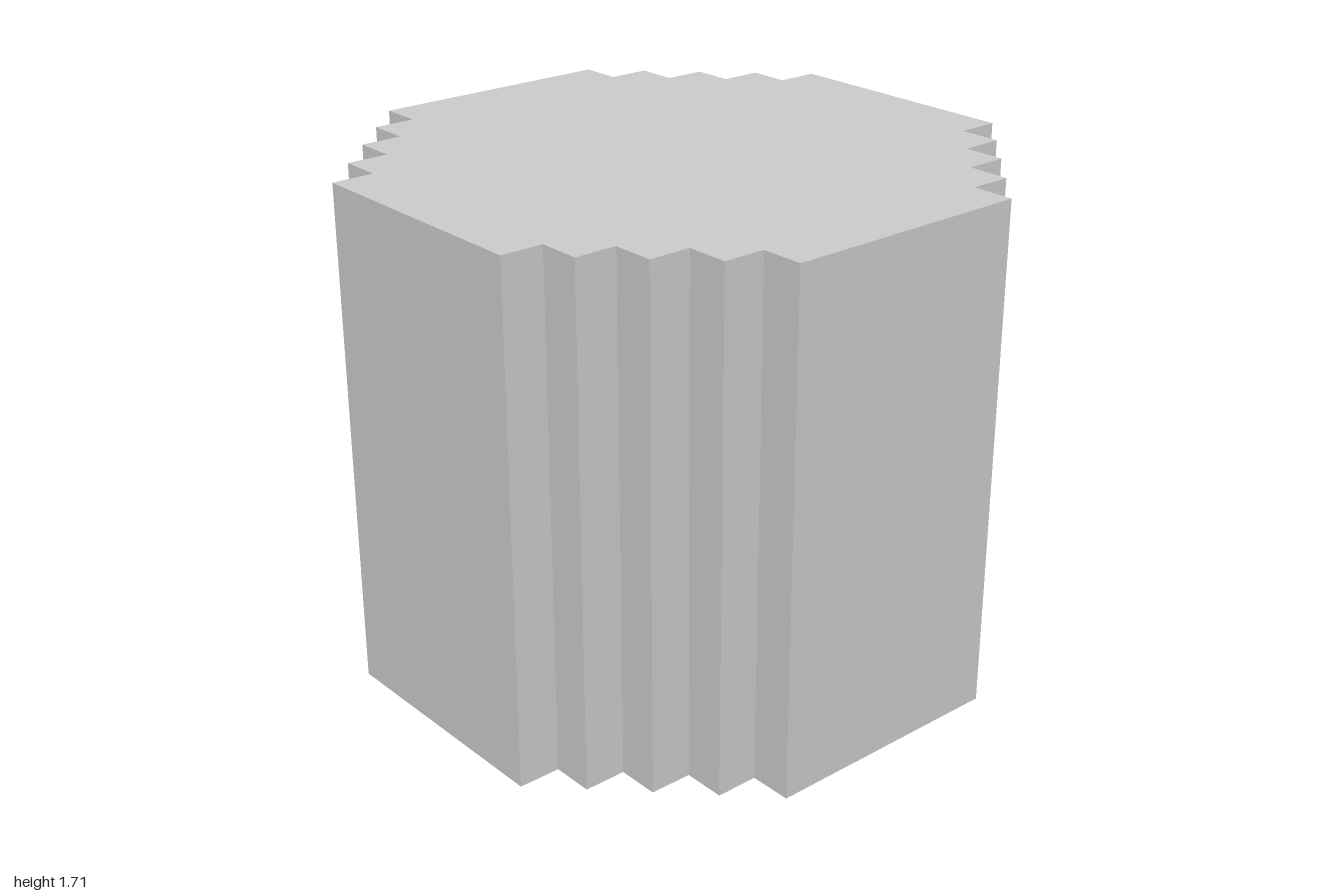
import * as THREE from 'three';

const U = 1 / 7; // one step of the staircase outline

// Closed outline, counter-clockwise, with stepped corners running from (reach, flat) to (flat, reach)
function steppedOutline(reach, flat) {
  const quarter = [[reach, flat]];
  for (let x = reach, y = flat; x > flat; x--, y++) {
    quarter.push([x - 1, y], [x - 1, y + 1]);
  }
  const points = [];
  for (let turn = 0; turn < 4; turn++) {
    for (const [x, y] of quarter) {
      const [px, py] = [[x, y], [-y, x], [-x, -y], [y, -x]][turn];
      points.push(new THREE.Vector2(px * U, py * U));
    }
  }
  return points;
}

// Upright prism between two heights, given in steps
function prism(shape, bottom, top, material, name) {
  const geometry = new THREE.ExtrudeGeometry(shape, { depth: (top - bottom) * U, bevelEnabled: false });
  geometry.rotateX(-Math.PI / 2).translate(0, bottom * U, 0);
  const mesh = new THREE.Mesh(geometry, material);
  mesh.name = name;
  return mesh;
}

export function createModel() {
  const group = new THREE.Group();
  group.name = 'steppedColumn';
  const grey = new THREE.MeshStandardMaterial({ color: 0xcccccc });
  grey.name = 'light grey';

  // Base ring around the recess in the underside
  const ring = new THREE.Shape(steppedOutline(7, 3));
  ring.holes.push(new THREE.Path(steppedOutline(3, 2).reverse()));
  group.add(prism(ring, 0, 3, grey, 'recessedBase'));

  // Solid body above the recess
  group.add(prism(new THREE.Shape(steppedOutline(7, 3)), 3, 12, grey, 'solidBody'));

  return group;
}
